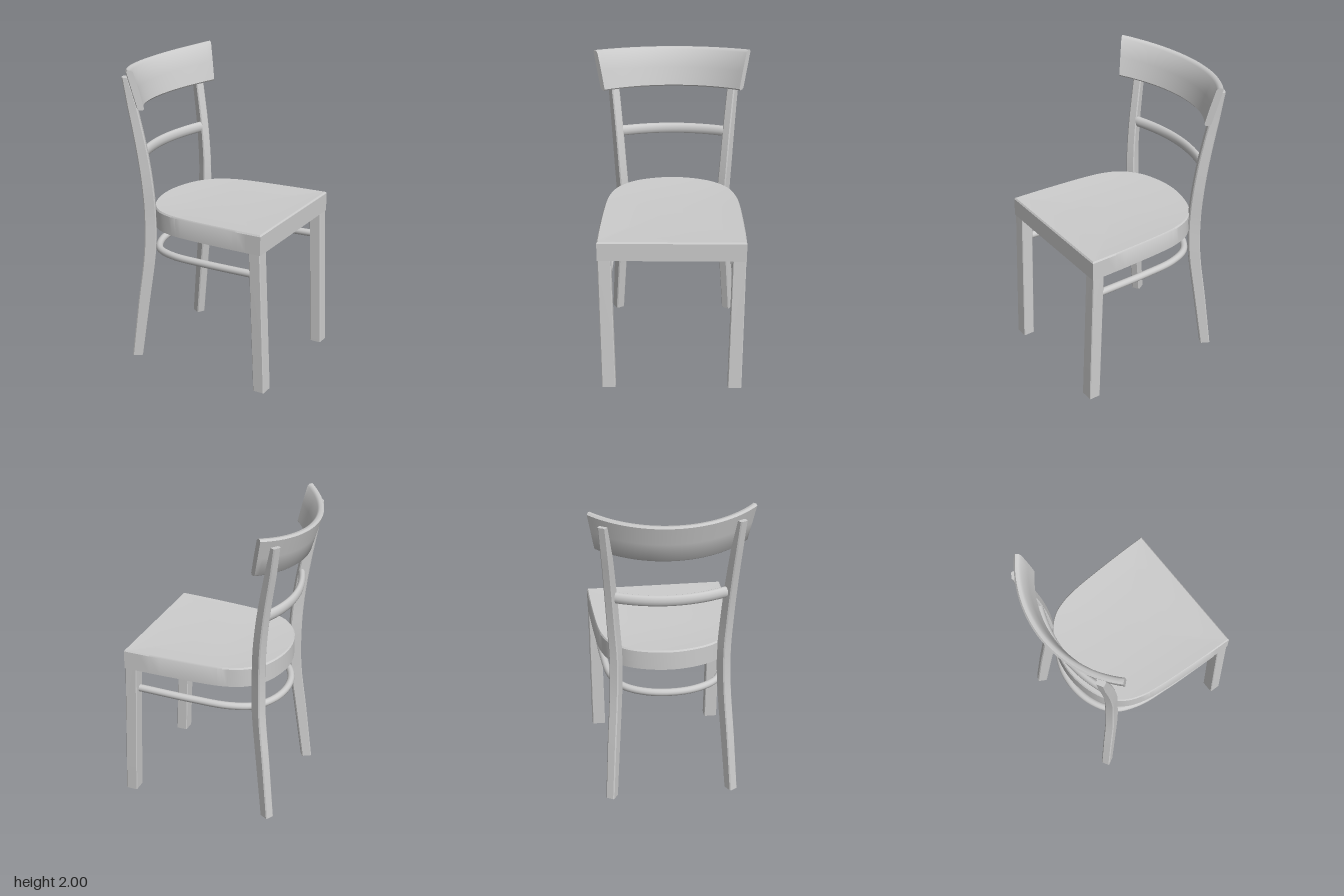
import * as THREE from 'three';
import { toCreasedNormals } from 'three/addons/utils/BufferGeometryUtils.js';

const material = new THREE.MeshStandardMaterial({ color: 0xcccccc });

// Skin a list of equal-length rings of [x, y, z] points and close both ends.
function loft(rings, crease = 0.6) {
  const n = rings[0].length;
  const center = (r) => [0, 1, 2].map((k) => r.reduce((s, p) => s + p[k], 0) / n);
  const points = [...rings.flat(), center(rings[0]), center(rings[rings.length - 1])];
  const first = rings.length * n;
  const last = (rings.length - 1) * n;
  const faces = [];
  for (let j = 0; j < n; j++) {
    const k = (j + 1) % n;
    for (let i = 0; i < rings.length - 1; i++) {
      const a = i * n + j, b = i * n + k;
      faces.push([a, b, b + n], [a, b + n, a + n]);
    }
    faces.push([first, k, j], [first + 1, last + j, last + k]);
  }
  // Turn the faces outward when the enclosed volume comes out negative.
  const v = points.map((p) => new THREE.Vector3(...p));
  const volume = faces.reduce((s, [a, b, c]) => s + v[a].dot(v[b].clone().cross(v[c])), 0);
  if (volume < 0) faces.forEach((f) => f.reverse());
  const geometry = new THREE.BufferGeometry().setFromPoints(v);
  geometry.setIndex(faces.flat());
  return toCreasedNormals(geometry, crease);
}

function add(group, name, geometry) {
  const mesh = new THREE.Mesh(geometry, material);
  mesh.name = name;
  group.add(mesh);
  return mesh;
}

// Chamfered rectangle with half sizes a and b.
function chamfered(a, b, c) {
  return [[a - c, -b], [a, -b + c], [a, b - c], [a - c, b], [-a + c, b], [-a, b - c], [-a, -b + c], [-a + c, -b]];
}

// Seat: rounded at the back, hollow below, slightly dished on top.
function seatGeometry() {
  const half = [[0.546, 0.468], [0.3, 0.462], [0, 0.445], [-0.15, 0.42], [-0.26, 0.37], [-0.35, 0.27], [-0.4, 0.14]];
  const path = [...half, [-0.418, 0], ...half.map(([x, z]) => [x, -z]).reverse()];
  const outline = new THREE.SplineCurve(path.map((p) => new THREE.Vector2(...p))).getPoints(56);
  const ring = (s, y) => outline.map((p) => {
    const x = 0.06 + (p.x - 0.06) * s;
    return [x, y + 0.018 * x, p.y * s];
  });
  return loft([
    ring(0.87, 1.01), ring(0.87, 0.935), ring(1, 0.935), ring(1, 1.058),
    ring(0.985, 1.068), ring(0.8, 1.062), ring(0.5, 1.056), ring(0.2, 1.054),
  ]);
}

// Rear post: bent outward at the foot and backward at the top.
function postGeometry(side) {
  // height, x, z, half depth, half width
  const keys = [
    [0, -0.425, 0.4, 0.034, 0.03], [0.4, -0.38, 0.375, 0.038, 0.031], [0.75, -0.34, 0.352, 0.039, 0.031],
    [1.0, -0.335, 0.347, 0.039, 0.031], [1.2, -0.342, 0.358, 0.038, 0.03], [1.45, -0.37, 0.374, 0.036, 0.029],
    [1.74, -0.42, 0.397, 0.031, 0.028], [1.93, -0.455, 0.418, 0.02, 0.027],
  ];
  const curve = new THREE.CatmullRomCurve3(keys.map(([y, x, z]) => new THREE.Vector3(x, y, z)));
  const c = Math.cos(0.52), s = Math.sin(0.52);
  const steps = 4 * (keys.length - 1);
  const rings = [];
  for (let i = 0; i <= steps; i++) {
    const p = curve.getPoint(i / steps);
    const k = Math.min(Math.floor(i / 4), keys.length - 2);
    const f = i / 4 - k;
    const [d, w] = [3, 4].map((m) => THREE.MathUtils.lerp(keys[k][m], keys[k + 1][m], f));
    rings.push(chamfered(d, w, 0.007).map(([u, v]) => [p.x - u * c + v * s, p.y, side * (p.z + u * s + v * c)]));
  }
  return loft(rings);
}

// Front leg: square and splayed a little forward.
function frontLegGeometry(side) {
  const ring = (y, x, z, hx, hz) =>
    chamfered(hx, hz, 0.005).map(([u, v]) => [x + u, y, side * (z + v)]);
  return loft([ring(0, 0.54, 0.415, 0.039, 0.045), ring(0.94, 0.503, 0.424, 0.04, 0.042), ring(1.02, 0.5, 0.424, 0.038, 0.04)], 0.4);
}

// Top board: part of a cone, with raised and flared ends.
function backrestGeometry() {
  const rings = [];
  for (let i = 0; i <= 32; i++) {
    const t = i / 16 - 1;
    const angle = 0.724 * t;
    const top = 1.957 + 0.043 * t * t;
    const bottom = 1.71 + 0.032 * t * t;
    // height fraction, depth inside the outer face
    const section = [[0, 0.01], [0.04, 0], [0.5, 0], [0.95, 0], [1, 0.012], [1, 0.03], [0.95, 0.042], [0.5, 0.044], [0.04, 0.042], [0, 0.032]];
    rings.push(section.map(([h, d]) => {
      const r = 0.707 + 0.07 * h - d;
      return [0.197 - r * Math.cos(angle), THREE.MathUtils.lerp(bottom, top, h), r * Math.sin(angle)];
    }));
  }
  return loft(rings, 0.8);
}

// Bowed slat between the posts.
function slatGeometry() {
  const rings = [];
  for (let i = 0; i <= 20; i++) {
    const t = i / 10 - 1;
    const ring = [];
    for (let j = 0; j < 12; j++) {
      const a = (j / 12) * Math.PI * 2;
      const d = 0.022 * Math.cos(a);
      ring.push([-0.438 + 0.073 * t * t + d, 1.421 + 0.008 * t * t + 0.037 * Math.sin(a), 0.355 * t - d * 0.42 * t]);
    }
    rings.push(ring);
  }
  return loft(rings, 1);
}

// Bent hoop running from one front leg around the back to the other.
function hoopGeometry() {
  const half = [[0.49, 0.785, 0.41], [0.1, 0.773, 0.397], [-0.14, 0.764, 0.37], [-0.29, 0.758, 0.3], [-0.375, 0.755, 0.165]];
  const path = [...half, [-0.404, 0.755, 0], ...half.map(([x, y, z]) => [x, y, -z]).reverse()];
  const curve = new THREE.CatmullRomCurve3(path.map((p) => new THREE.Vector3(...p)));
  return new THREE.TubeGeometry(curve, 72, 0.024, 12);
}

export function createModel() {
  const model = new THREE.Group();
  model.name = 'chair';
  add(model, 'seat', seatGeometry());
  for (const [side, label] of [[1, 'left'], [-1, 'right']]) {
    add(model, label + 'FrontLeg', frontLegGeometry(side));
    add(model, label + 'RearPost', postGeometry(side));
  }
  add(model, 'stretcherHoop', hoopGeometry());
  add(model, 'backSlat', slatGeometry());
  add(model, 'backrest', backrestGeometry()).rotation.y = 0.02;
  // The whole chair stands very slightly turned.
  model.rotation.y = 0.012;
  return model;
}
